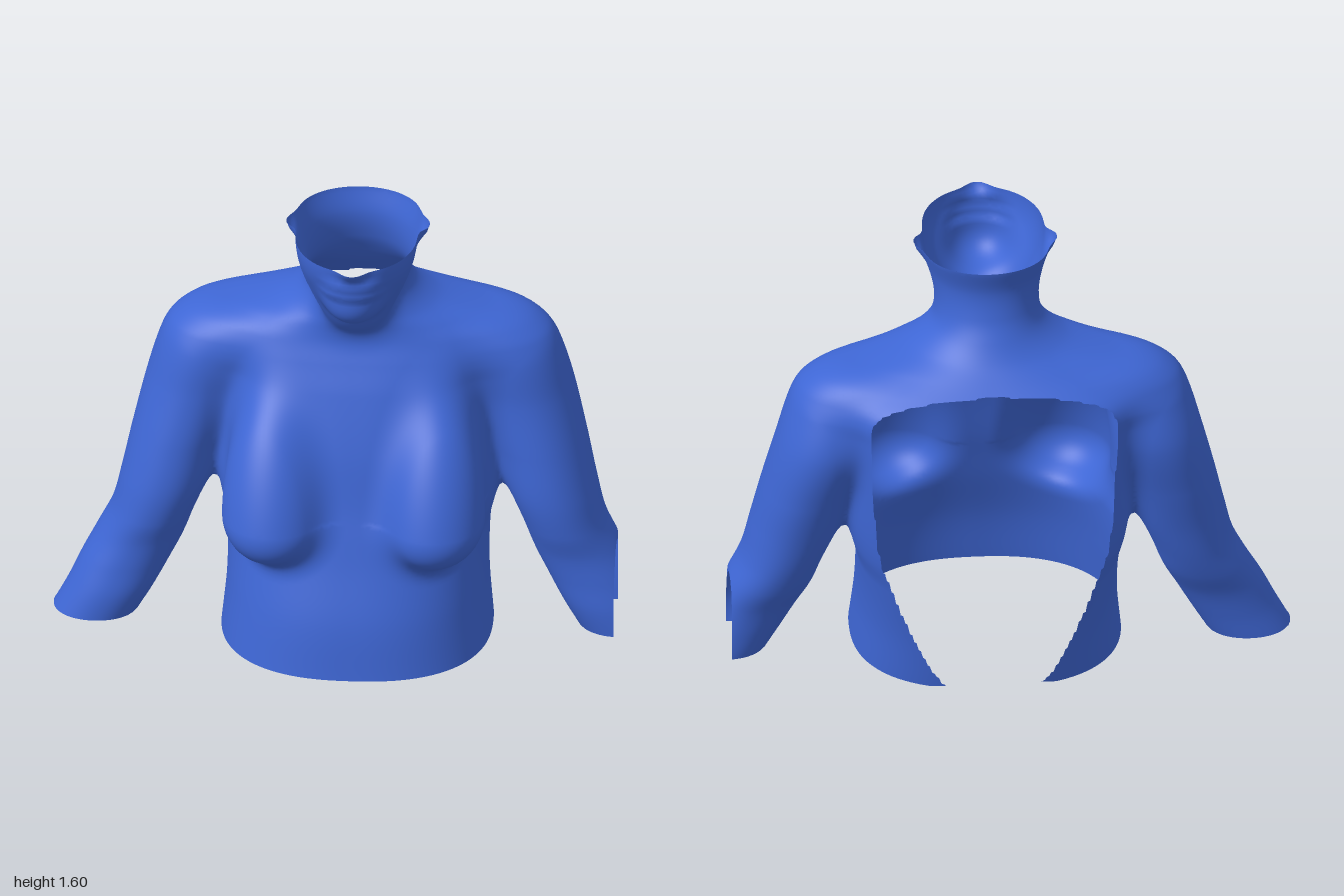
import * as THREE from 'three';

// The body is mirrored about the plane x = MID; u is the distance from it.
const MID = 0.08, STEP = 0.016;
// Open cuts: waist, face, back and one forearm.
const LOW = [-1.02, 0.005, -0.44], HIGH = [0.99, 1.6, 0.47];

// Trunk and neck sections: [height, centre u, half width, front z, back z]
const TRUNK = [
  [0, 0, 0.48, 0.44, -0.47], [0.2, 0, 0.462, 0.405, -0.52], [0.4, 0, 0.465, 0.34, -0.58],
  [0.5, 0, 0.487, 0.31, -0.6], [0.6, 0, 0.495, 0.28, -0.61], [0.8, 0, 0.49, 0.23, -0.63],
  [1.0, 0, 0.5, 0.16, -0.61], [1.1, 0, 0.54, 0.115, -0.54], [1.17, 0, 0.52, 0.085, -0.46],
  [1.22, 0, 0.41, 0.077, -0.41], [1.27, 0, 0.28, 0.08, -0.365], [1.33, 0, 0.205, 0.085, -0.325],
  [1.4, 0, 0.185, 0.09, -0.29], [1.5, 0, 0.195, 0.1, -0.272], [1.6, 0, 0.22, 0.1, -0.295],
];
// Arm sections, same columns
const ARM = [
  [0, 0.93, 0.15, 0.07, -0.2], [0.1, 0.875, 0.153, 0.07, -0.21], [0.2, 0.825, 0.156, 0.06, -0.23],
  [0.3, 0.772, 0.154, 0.058, -0.27], [0.4, 0.728, 0.147, 0.075, -0.3], [0.53, 0.685, 0.157, 0.08, -0.33],
  [0.7, 0.642, 0.162, 0.06, -0.37], [0.9, 0.58, 0.175, 0.03, -0.405], [1.05, 0.52, 0.192, 0.02, -0.385],
  [1.12, 0.48, 0.2, 0, -0.36], [1.17, 0.44, 0.19, -0.03, -0.34], [1.22, 0.4, 0.17, -0.06, -0.32],
];

// Smoothly interpolated section of a table at height y
function sectionAt(rows, y) {
  const n = rows.length;
  y = Math.min(Math.max(y, rows[0][0]), rows[n - 1][0]);
  let i = 0;
  while (i < n - 2 && y > rows[i + 1][0]) i++;
  const p = rows[i], q = rows[i + 1], o = rows[Math.max(i - 1, 0)], r = rows[Math.min(i + 2, n - 1)];
  const d = q[0] - p[0], t = (y - p[0]) / d, t2 = t * t, t3 = t2 * t;
  return p.map((v, k) => {
    const m0 = d * (q[k] - o[k]) / (q[0] - o[0]), m1 = d * (r[k] - v) / (r[0] - p[0]);
    return v * (2 * t3 - 3 * t2 + 1) + m0 * (t3 - 2 * t2 + t) + q[k] * (3 * t2 - 2 * t3) + m1 * (t3 - t2);
  });
}

// Signed fields, negative inside
function column(rows, u, y, z, power) {
  const [, c, a, front, back] = sectionAt(rows, y);
  const b = (front - back) / 2, mid = (front + back) / 2;
  const r = (Math.abs((u - c) / a) ** power + Math.abs((z - mid) / b) ** power) ** (1 / power);
  return (r - 1) * Math.min(a, b);
}
function ellipsoid(u, y, z, [cu, cy, cz], [ru, ry, rz]) {
  return (Math.hypot((u - cu) / ru, (y - cy) / ry, (z - cz) / rz) - 1) * Math.min(ru, ry, rz);
}
function blend(a, b, k) {
  const h = Math.max(k - Math.abs(a - b), 0) / k;
  return Math.min(a, b) - h * h * k / 4;
}

function bodyParts(x, y, z) {
  const u = Math.abs(x - MID);
  const trunk = column(TRUNK, u, y, z, 2.4 - 0.35 * THREE.MathUtils.smoothstep(y, 1.1, 1.3));
  // Arm, rounded off at the top of the shoulder
  const arm = -blend(-column(ARM, u, y, z, 2.1), 1.205 - y, 0.08);
  // Breast: short below its centre, long above, leaning back to the collar
  const breast = ellipsoid(u, y, z + 0.3 * (y - 0.56),
    [0.285, 0.56, 0.22], [0.18, y < 0.56 ? 0.16 : 0.42, 0.192]);
  // Jaw, throat, chin, lips, nose base and ear
  let head = ellipsoid(u, y, z, [0, 1.6, 0.06], [0.215, 0.25, 0.255]);
  head = blend(head, ellipsoid(u, y, z, [0, 1.37, 0.1], [0.12, 0.12, 0.06]), 0.08);
  head = blend(head, ellipsoid(u, y, z, [0, 1.425, 0.22], [0.08, 0.07, 0.078]), 0.08);
  head = blend(head, ellipsoid(u, y, z, [0, 1.495, 0.275], [0.06, 0.016, 0.03]), 0.03);
  head = blend(head, ellipsoid(u, y, z, [0, 1.535, 0.28], [0.06, 0.018, 0.032]), 0.03);
  head = blend(head, ellipsoid(u, y, z, [0, 1.61, 0.3], [0.04, 0.035, 0.05]), 0.04);
  head = blend(head, ellipsoid(u, y, z, [0.225, 1.62, -0.04], [0.028, 0.055, 0.035]), 0.03);
  return { trunk, arm, breast, head };
}
function body(x, y, z) {
  const p = bodyParts(x, y, z);
  return blend(blend(blend(p.trunk, p.arm, 0.075), p.breast, 0.08), p.head, 0.06);
}
function partName(x, y, z) {
  const p = bodyParts(x, y, z);
  const least = Math.min(p.trunk, p.arm, p.breast, p.head);
  const side = x > MID ? 'left' : 'right';
  if (least === p.arm) return side + 'Arm';
  if (least === p.breast) return side + 'Breast';
  if (least === p.head) return 'jaw';
  return y > 1.3 ? 'neck' : 'torso';
}

// Skin over the zero level of the field: one vertex per crossed grid cell
function buildSkin() {
  const n = LOW.map((lo, a) => Math.ceil((HIGH[a] - lo) / STEP) + 3);
  const stride = [1, n[0], n[0] * n[1]];
  const at = (i, a) => LOW[a] + (i - 1) * STEP;
  const field = new Float32Array(n[0] * n[1] * n[2]);
  const eachPoint = (end, visit) => {
    for (let k = 0; k < n[2] - end; k++)
      for (let j = 0; j < n[1] - end; j++)
        for (let i = 0; i < n[0] - end; i++) visit([i, j, k], i + j * stride[1] + k * stride[2]);
  };
  eachPoint(0, (g, id) => { field[id] = body(at(g[0], 0), at(g[1], 1), at(g[2], 2)); });

  const positions = [], normals = [], cell = new Int32Array(field.length).fill(-1);
  eachPoint(1, (g, id) => {
    const sum = [0, 0, 0];
    let count = 0;
    for (let a = 0; a < 3; a++) {
      const b = (a + 1) % 3, c = (a + 2) % 3;
      for (let e = 0; e < 4; e++) {
        const eb = e & 1, ec = e >> 1, s = id + eb * stride[b] + ec * stride[c];
        const f0 = field[s], f1 = field[s + stride[a]];
        if ((f0 < 0) === (f1 < 0)) continue;
        sum[a] += f0 / (f0 - f1);
        sum[b] += eb;
        sum[c] += ec;
        count++;
      }
    }
    if (!count) return;
    const p = sum.map((s, a) =>
      THREE.MathUtils.clamp(at(g[a] + s / count, a), LOW[a], HIGH[a]));
    const d = 0.006, [x, y, z] = p;
    const normal = new THREE.Vector3(
      body(x + d, y, z) - body(x - d, y, z),
      body(x, y + d, z) - body(x, y - d, z),
      body(x, y, z + d) - body(x, y, z - d)).normalize();
    cell[id] = positions.length / 3;
    positions.push(...p);
    normals.push(...normal.toArray());
  });

  // One quad per crossed grid edge, sorted by body part
  const faces = {};
  eachPoint(1, (g, id) => {
    for (let a = 0; a < 3; a++) {
      const b = (a + 1) % 3, c = (a + 2) % 3;
      if (!g[b] || !g[c] || (field[id] < 0) === (field[id + stride[a]] < 0)) continue;
      const q = [id - stride[b] - stride[c], id - stride[c], id, id - stride[b]].map(s => cell[s]);
      if (q.includes(-1)) continue;
      if (field[id] >= 0) q.reverse();
      const name = partName(at(g[0], 0), at(g[1], 1), at(g[2], 2));
      (faces[name] ??= []).push(q[0], q[1], q[2], q[0], q[2], q[3]);
    }
  });
  return { positions, normals, faces };
}

export function createModel() {
  const model = new THREE.Group();
  model.name = 'bust';
  const material = new THREE.MeshStandardMaterial({ color: 0x3e66d4, side: THREE.DoubleSide });
  const { positions, normals, faces } = buildSkin();
  // Each part keeps only its own vertices; shared normals hide the seams
  for (const [name, list] of Object.entries(faces)) {
    const own = new Map(), pos = [], nor = [];
    const index = list.map(v => {
      if (!own.has(v)) {
        own.set(v, own.size);
        pos.push(...positions.slice(v * 3, v * 3 + 3));
        nor.push(...normals.slice(v * 3, v * 3 + 3));
      }
      return own.get(v);
    });
    const geometry = new THREE.BufferGeometry();
    geometry.setAttribute('position', new THREE.Float32BufferAttribute(pos, 3));
    geometry.setAttribute('normal', new THREE.Float32BufferAttribute(nor, 3));
    geometry.setIndex(index);
    const mesh = new THREE.Mesh(geometry, material);
    mesh.name = name;
    model.add(mesh);
  }
  return model;
}
